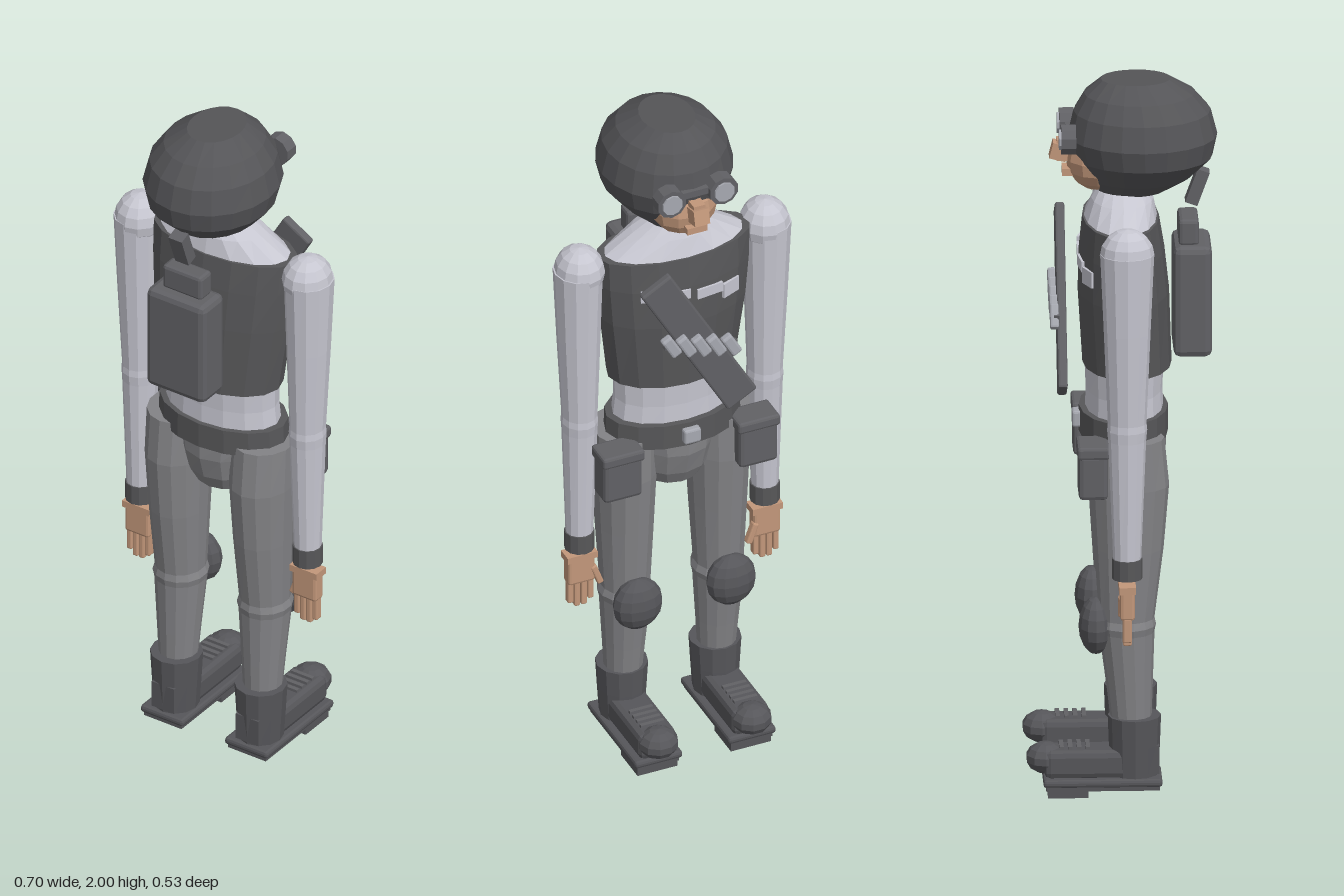
import * as THREE from 'three';
import { RoundedBoxGeometry } from 'three/addons/geometries/RoundedBoxGeometry.js';

const paint = (name, color) => new THREE.MeshStandardMaterial({ name, color, flatShading: true });

export function createModel() {
  const model = new THREE.Group();
  model.name = 'explorer';
  const M = {
    helmet: paint('helmetGrey', 0x545457),
    vest: paint('vestGrey', 0x575759),
    gear: paint('gearGrey', 0x616165),
    boot: paint('bootGrey', 0x56565a),
    pants: paint('pantsGrey', 0x838386),
    shirt: paint('paleShirt', 0xc6c6d0),
    metal: paint('paleMetal', 0xa6a8b0),
    skin: paint('skin', 0xc2977a),
  };

  const add = (name, geo, mat, x = 0, y = 0, z = 0, parent = model) => {
    const m = new THREE.Mesh(geo, mat);
    m.name = name;
    m.position.set(x, y, z);
    parent.add(m);
    return m;
  };
  const box = (w, h, d) => new THREE.BoxGeometry(w, h, d);
  const rbox = (w, h, d, r = 0.012) => new RoundedBoxGeometry(w, h, d, 1, r);
  const ball = (rx, ry, rz, n = 12, m = 8) => new THREE.SphereGeometry(1, n, m).scale(rx, ry, rz);

  // Closed stack of ellipses, top to bottom: [y, radiusX, radiusZ, centreZ, centreX]
  const loft = (rings, sides = 16) => {
    const k = rings.length - 1;
    const g = new THREE.CylinderGeometry(1, 1, 1, sides, k);
    const p = g.attributes.position;
    for (let i = 0; i < p.count; i++) {
      const [y, rx, rz, cz = 0, cx = 0] = rings[Math.round((0.5 - p.getY(i)) * k)];
      p.setXYZ(i, p.getX(i) * rx + cx, y, p.getZ(i) * rz + cz);
    }
    g.computeVertexNormals();
    return g;
  };

  // Head and helmet; the face looks toward -z
  add('neck', loft([[1.74, 0.055, 0.055, 0], [1.64, 0.06, 0.06, 0.01]], 12), M.skin);
  add('face', ball(0.095, 0.09, 0.085), M.skin, 0, 1.775, -0.065);
  add('helmet', loft([
    [2.0, 0.075, 0.096, 0.042], [1.96, 0.135, 0.152, 0.052], [1.91, 0.17, 0.188, 0.059],
    [1.84, 0.187, 0.205, 0.06], [1.78, 0.172, 0.19, 0.062], [1.72, 0.12, 0.14, 0.05],
    [1.68, 0.07, 0.09, 0.03]], 20), M.helmet);
  add('noseBridge', box(0.035, 0.06, 0.04), M.skin, 0, 1.8, -0.155);
  add('noseTip', box(0.045, 0.045, 0.045), M.skin, 0, 1.795, -0.168).rotation.x = 0.25;
  add('mouth', box(0.06, 0.02, 0.03), M.skin, 0, 1.74, -0.145);
  add('goggleBridge', box(0.08, 0.02, 0.02), M.gear, 0, 1.855, -0.14);
  for (const s of [-1, 1]) {
    const rim = new THREE.CylinderGeometry(0.043, 0.043, 0.04, 10).rotateX(Math.PI / 2);
    add('goggleRim', rim, M.gear, s * 0.078, 1.85, -0.145);
    add('goggleLens', new THREE.CylinderGeometry(0.03, 0.03, 0.008, 10).rotateX(Math.PI / 2),
      M.metal, s * 0.078, 1.85, -0.167);
  }
  add('helmetTail', box(0.045, 0.1, 0.035), M.gear, 0, 1.69, 0.21).rotation.x = 0.35;

  // Torso
  add('shirt', loft([
    [1.685, 0.075, 0.07, 0.005], [1.66, 0.12, 0.085, 0.005], [1.61, 0.205, 0.1, 0],
    [1.45, 0.2, 0.105, 0], [1.19, 0.172, 0.108, 0.01], [1.12, 0.17, 0.105, 0.01],
    [1.03, 0.18, 0.108, 0.01]]), M.shirt);
  add('vest', loft([
    [1.61, 0.228, 0.105, 0], [1.52, 0.225, 0.117, 0.003], [1.4, 0.215, 0.125, 0.008],
    [1.19, 0.187, 0.122, 0.018]]), M.vest);
  // Pale patches on the chest
  for (const [x, y, w, h, turn] of [[0.1, 1.51, 0.08, 0.035, -0.28], [-0.06, 1.49, 0.08, 0.03, 0.12],
    [-0.13, 1.47, 0.06, 0.045, 0.4], [0.03, 1.5, 0.06, 0.03, 0]]) {
    const z = 0.004 - 0.119 * Math.sqrt(1 - (x / 0.225) ** 2);
    add('chestPatch', box(w, h, 0.008), M.shirt, x, y, z).rotation.y = turn;
  }
  add('belt', loft([[1.067, 0.197, 0.122, 0.008], [0.992, 0.2, 0.122, 0.008]]), M.vest);
  add('buckle', rbox(0.05, 0.045, 0.025, 0.006), M.metal, 0, 1.03, -0.12);
  add('pelvis', loft([
    [1.0, 0.125, 0.115, 0.01], [0.95, 0.115, 0.115, 0.01], [0.88, 0.105, 0.095, 0.01],
    [0.835, 0.08, 0.07, 0.01]], 12), M.pants);

  // Backpack
  add('backpack', rbox(0.195, 0.315, 0.105, 0.018), M.gear, 0, 1.382, 0.195);
  add('backpackTop', rbox(0.13, 0.075, 0.055, 0.01), M.gear, 0, 1.572, 0.185);

  // Slanted chest sling with a row of small cartridges
  const sling = add('sling', rbox(0.1, 0.52, 0.026, 0.006), M.gear, 0, 1.37, -0.163);
  sling.rotation.z = -Math.PI / 6;
  for (let i = 0; i < 5; i++) {
    const x = (i - 2) * 0.045;
    add('cartridge', rbox(0.032, 0.07, 0.024, 0.006), M.metal, x, 1.37 + x * 0.25, -0.184)
      .rotation.z = -Math.PI / 6;
  }
  add('cartridgeStrip', box(0.22, 0.022, 0.016), M.gear, 0, 1.37, -0.178).rotation.z = 0.24;

  for (const s of [-1, 1]) {
    // Arms
    const arm = new THREE.Group();
    arm.name = s > 0 ? 'leftArm' : 'rightArm';
    arm.position.set(s * 0.278, 0, 0.008);
    model.add(arm);
    add('shoulder', ball(0.07, 0.075, 0.075, 12, 8), M.shirt, 0, 1.58, 0, arm);
    add('sleeve', loft([
      [1.585, 0.068, 0.074, 0, s * 0.005], [1.36, 0.06, 0.064, 0, s * 0.003], [1.1, 0.049, 0.053],
      [1.08, 0.051, 0.055], [1.05, 0.049, 0.052], [0.7, 0.038, 0.038, 0, 0]], 12), M.shirt, 0, 0, 0, arm);
    add('cuff', loft([[0.712, 0.042, 0.042], [0.655, 0.042, 0.042]], 12), M.vest, 0, 0, 0, arm);
    add('wrist', box(0.09, 0.02, 0.046), M.skin, 0, 0.63, 0, arm);
    add('palm', rbox(0.08, 0.085, 0.04, 0.008), M.skin, 0, 0.585, 0, arm);
    for (let i = 0; i < 4; i++) {
      const len = [0.07, 0.085, 0.085, 0.07][i];
      add('finger', rbox(0.017, len, 0.024, 0.004), M.skin, (i - 1.5) * 0.02, 0.55 - len / 2, 0, arm);
    }
    add('thumb', rbox(0.018, 0.065, 0.022, 0.004), M.skin, -s * 0.045, 0.56, -0.012, arm)
      .rotation.z = -s * 0.35;

    // Legs
    const leg = new THREE.Group();
    leg.name = s > 0 ? 'leftLeg' : 'rightLeg';
    leg.position.x = s * 0.14;
    model.add(leg);
    add('trouserLeg', loft([
      [1.015, 0.088, 0.1, 0.015], [0.88, 0.088, 0.108, 0.02], [0.7, 0.08, 0.095, 0.018],
      [0.5, 0.07, 0.076, 0.012], [0.48, 0.077, 0.08, 0.012], [0.46, 0.072, 0.076, 0.012],
      [0.3, 0.06, 0.063, 0.02], [0.18, 0.052, 0.054, 0.025]], 14), M.pants, 0, 0, 0, leg);
    add('kneePad', ball(0.073, 0.08, 0.047), M.boot, 0, 0.477, -0.073, leg);

    // Boots
    add('bootShaft', loft([[0.22, 0.073, 0.073, 0.033], [0.14, 0.068, 0.07, 0.033],
      [0.05, 0.062, 0.066, 0.033]], 12), M.boot, 0, 0, 0, leg);
    add('heelCounter', box(0.075, 0.08, 0.03), M.boot, 0, 0.1, 0.085, leg);
    add('bootUpper', rbox(0.11, 0.08, 0.24, 0.018), M.boot, 0, 0.09, -0.095, leg);
    add('toeCap', ball(0.057, 0.044, 0.055, 10, 7), M.boot, 0, 0.1, -0.21, leg);
    add('welt', rbox(0.142, 0.022, 0.325, 0.008), M.boot, 0, 0.042, -0.055, leg);
    add('sole', box(0.125, 0.014, 0.31), M.boot, 0, 0.027, -0.055, leg);
    add('toeTread', box(0.12, 0.02, 0.11), M.boot, 0, 0.01, -0.15, leg);
    for (let i = 0; i < 4; i++)
      add('lace', box(0.07, 0.008, 0.012), M.gear, 0, 0.135, -0.095 - i * 0.024, leg);

    // Belt pouches
    add('pouch', rbox(0.115, 0.13, 0.08, 0.012), M.gear, s * 0.203, 0.935, -0.083);
    add('pouchFlap', rbox(0.125, 0.035, 0.088, 0.008), M.gear, s * 0.203, 1.005, -0.083);
  }
  return model;
}
